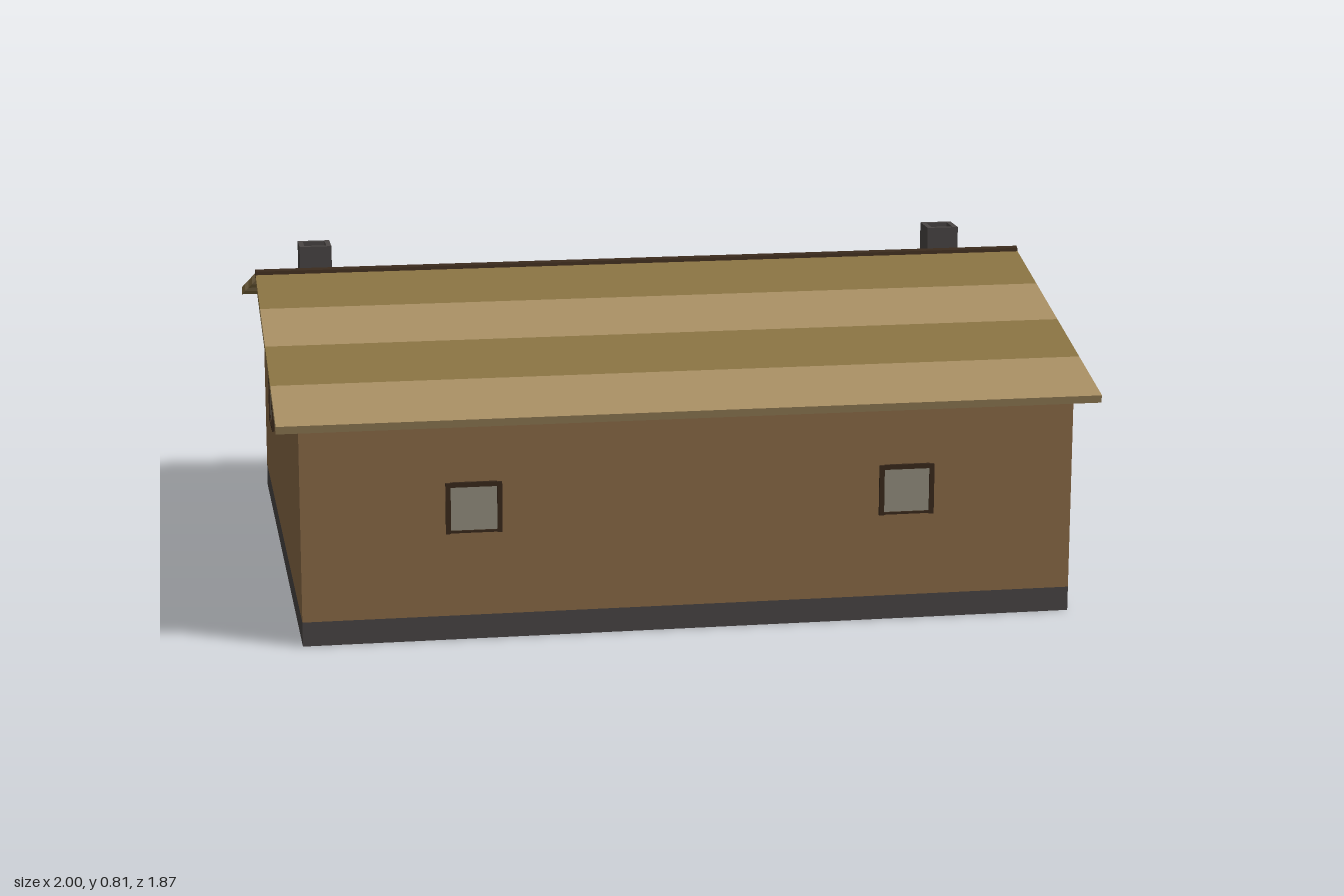
import * as THREE from 'three';

const mat = (color, side = THREE.FrontSide) =>
  new THREE.MeshStandardMaterial({ color, side, flatShading: true });

const M = {
  wall: mat(0x8b6b47), stone: mat(0x4a4645), dark: mat(0x3a2a1c), soot: mat(0x2e2c2b),
  light: mat(0xa88f63), ochre: mat(0x8a7343), glass: mat(0x959080), blue: mat(0x7c8ea3),
  door: mat(0x54442c), bench: mat(0x6e4c30), canopy: mat(0x90867a, THREE.DoubleSide),
};

const RIDGE_Z = 0.125, RIDGE_Y = 0.762, HALF_RUN = 0.81, DROP = 0.204;
const ANGLE = Math.atan2(DROP, HALF_RUN), SLOPE = DROP / HALF_RUN, THICK = 0.02;
const roofY = z => RIDGE_Y - SLOPE * Math.abs(z - RIDGE_Z);

function add(parent, name, geo, material, x = 0, y = 0, z = 0) {
  const m = new THREE.Mesh(geo, material);
  m.name = name;
  m.position.set(x, y, z);
  parent.add(m);
  return m;
}
const box = (parent, name, material, w, h, d, x, y, z) =>
  add(parent, name, new THREE.BoxGeometry(w, h, d), material, x, y, z);

function group(parent, name, x = 0, y = 0, z = 0, turn = 0) {
  const g = new THREE.Group();
  g.name = name;
  g.position.set(x, y, z);
  g.rotation.y = turn;
  parent.add(g);
  return g;
}

// Square window with a dark frame, facing +z before turning
function addWindow(parent, x, z, turn) {
  const g = group(parent, 'window', x, 0.328, z, turn);
  box(g, 'windowGlass', M.glass, 0.12, 0.115, 0.004, 0, 0, 0.001);
  for (const s of [-1, 1]) {
    box(g, 'windowJamb', M.dark, 0.012, 0.125, 0.012, s * 0.062, 0, 0.001);
    box(g, 'windowRail', M.dark, 0.112, s > 0 ? 0.012 : 0.006, 0.012, 0, s * 0.058, 0.001);
  }
}

function addChimney(parent, x) {
  const g = group(parent, 'chimney', x, 0, 0.004);
  const s = 0.041, h = 0.028;
  const shape = new THREE.Shape([[-s, -s], [s, -s], [s, s], [-s, s]].map(p => new THREE.Vector2(...p)));
  shape.holes.push(new THREE.Path([[-h, -h], [-h, h], [h, h], [h, -h]].map(p => new THREE.Vector2(...p))));
  const geo = new THREE.ExtrudeGeometry(shape, { depth: 0.13, bevelEnabled: false });
  geo.rotateX(-Math.PI / 2);
  add(g, 'chimneyStack', geo, M.stone, 0, 0.68, 0);
  box(g, 'chimneyFlue', M.soot, 0.056, 0.1, 0.056, 0, 0.735, 0);
  const skirt = box(g, 'chimneyFlashing', M.stone, 0.104, 0.012, 0.106, 0, roofY(0.004), 0);
  skirt.rotation.x = -ANGLE;
}

// Triangular roof light lying on the back slope, its point toward the ridge
function addRoofLight(parent, x) {
  const z = -0.27;
  const g = group(parent, 'roofLight', x, roofY(z), z);
  g.rotation.x = -ANGLE;
  box(g, 'roofLightPatch', M.light, 0.092, 0.004, 0.095, 0, 0.001, 0);
  const tri = k => [[-0.052, -0.05], [0.052, -0.05], [0, 0.047]]
    .map(([a, b]) => new THREE.Vector2(a * k, (b + 0.018) * k - 0.018));
  // shape y runs toward +z
  const slab = (k, depth) => {
    const geo = new THREE.ExtrudeGeometry(new THREE.Shape(tri(k)), { depth, bevelEnabled: false });
    geo.rotateX(Math.PI / 2);
    return geo;
  };
  add(g, 'roofLightFrame', slab(1, 0.008), M.dark, 0, 0.007, 0);
  add(g, 'roofLightPane', slab(0.72, 0.008), M.blue, 0, 0.009, 0);
}

export function createModel() {
  const house = new THREE.Group();
  house.name = 'house';

  // Plinth and gabled walls
  box(house, 'plinth', M.stone, 1.89, 0.06, 1.51, 0, 0.03, 0.125);
  const under = z => roofY(z) - THICK + 0.002;
  const profile = new THREE.Shape([[-0.88, 0.06], [0.63, 0.06], [0.63, under(-0.63)],
    [-RIDGE_Z, under(RIDGE_Z)], [-0.88, under(0.88)]].map(p => new THREE.Vector2(...p)));
  const walls = new THREE.ExtrudeGeometry(profile, { depth: 1.89, bevelEnabled: false });
  walls.rotateY(Math.PI / 2);
  add(house, 'walls', walls, M.wall, -0.945, 0, 0);

  // Roof in four bands per slope
  const roof = group(house, 'roof');
  const len = Math.hypot(HALF_RUN, DROP) / 4;
  for (const s of [-1, 1]) for (let i = 0; i < 4; i++) {
    const z = RIDGE_Z + s * HALF_RUN * (i + 0.5) / 4;
    const pale = (i % 2 === 0) === (s < 0);
    const band = box(roof, 'roofBand', pale ? M.light : M.ochre, 2, THICK, len,
      0, roofY(z) - THICK / 2 * Math.cos(ANGLE), z - s * THICK / 2 * Math.sin(ANGLE));
    band.rotation.x = s * ANGLE;
  }
  const ridge = new THREE.CylinderGeometry(0.014, 0.014, 2, 8);
  ridge.rotateZ(Math.PI / 2);
  add(roof, 'ridgePole', ridge, M.dark, 0, 0.757, RIDGE_Z);

  addChimney(house, -0.84);
  addChimney(house, 0.82);

  // Windows on every side and roof lights at the back
  for (const s of [-1, 1]) {
    addRoofLight(house, s * 0.415);
    addWindow(house, s * 0.53, 0.88, 0);
    addWindow(house, s * 0.545, -0.63, Math.PI);
    addWindow(house, s * 0.945, -0.25, s * Math.PI / 2);
  }

  // Back door
  const door = group(house, 'door', 0, 0, -0.631);
  box(door, 'doorPanel', M.door, 0.2, 0.4, 0.006, 0, 0.26, 0);
  for (const s of [-1, 1]) box(door, 'doorJamb', M.dark, 0.016, 0.41, 0.014, s * 0.106, 0.265, 0);
  box(door, 'doorLintel', M.dark, 0.2, 0.016, 0.014, 0, 0.462, 0);

  // Flat porch canopy on two posts
  const porch = group(house, 'porch');
  const sheet = new THREE.PlaneGeometry(0.425, 0.305);
  sheet.rotateX(-Math.PI / 2);
  add(porch, 'canopy', sheet, M.canopy, 0, 0.512, -0.7825);
  const beam = new THREE.CylinderGeometry(0.012, 0.012, 0.385, 8);
  beam.rotateZ(Math.PI / 2);
  add(porch, 'porchBeam', beam, M.dark, 0, 0.512, -0.914);
  for (const s of [-1, 1])
    add(porch, 'porchPost', new THREE.CylinderGeometry(0.012, 0.012, 0.512, 8), M.dark, s * 0.18, 0.256, -0.911);

  // Bench
  const bench = group(house, 'bench', -0.342, 0, -0.752);
  box(bench, 'benchSeat', M.bench, 0.225, 0.013, 0.076, 0, 0.137, 0);
  for (const sx of [-1, 1]) for (const sz of [-1, 1])
    box(bench, 'benchLeg', M.dark, 0.014, 0.072, 0.014, sx * 0.085, 0.096, sz * 0.02);

  // Lantern on a pole
  const lamp = group(house, 'lantern', 0.262, 0, -0.735);
  box(lamp, 'lanternPole', M.dark, 0.012, 0.145, 0.012, 0, 0.1325, 0);
  box(lamp, 'lanternCandle', M.dark, 0.014, 0.03, 0.014, 0, 0.217, 0);
  box(lamp, 'lanternBase', M.dark, 0.042, 0.007, 0.042, 0, 0.202, 0);
  box(lamp, 'lanternCap', M.dark, 0.045, 0.008, 0.045, 0, 0.255, 0);
  for (const sx of [-1, 1]) for (const sz of [-1, 1])
    box(lamp, 'lanternBar', M.dark, 0.004, 0.05, 0.004, sx * 0.017, 0.228, sz * 0.017);

  return house;
}
